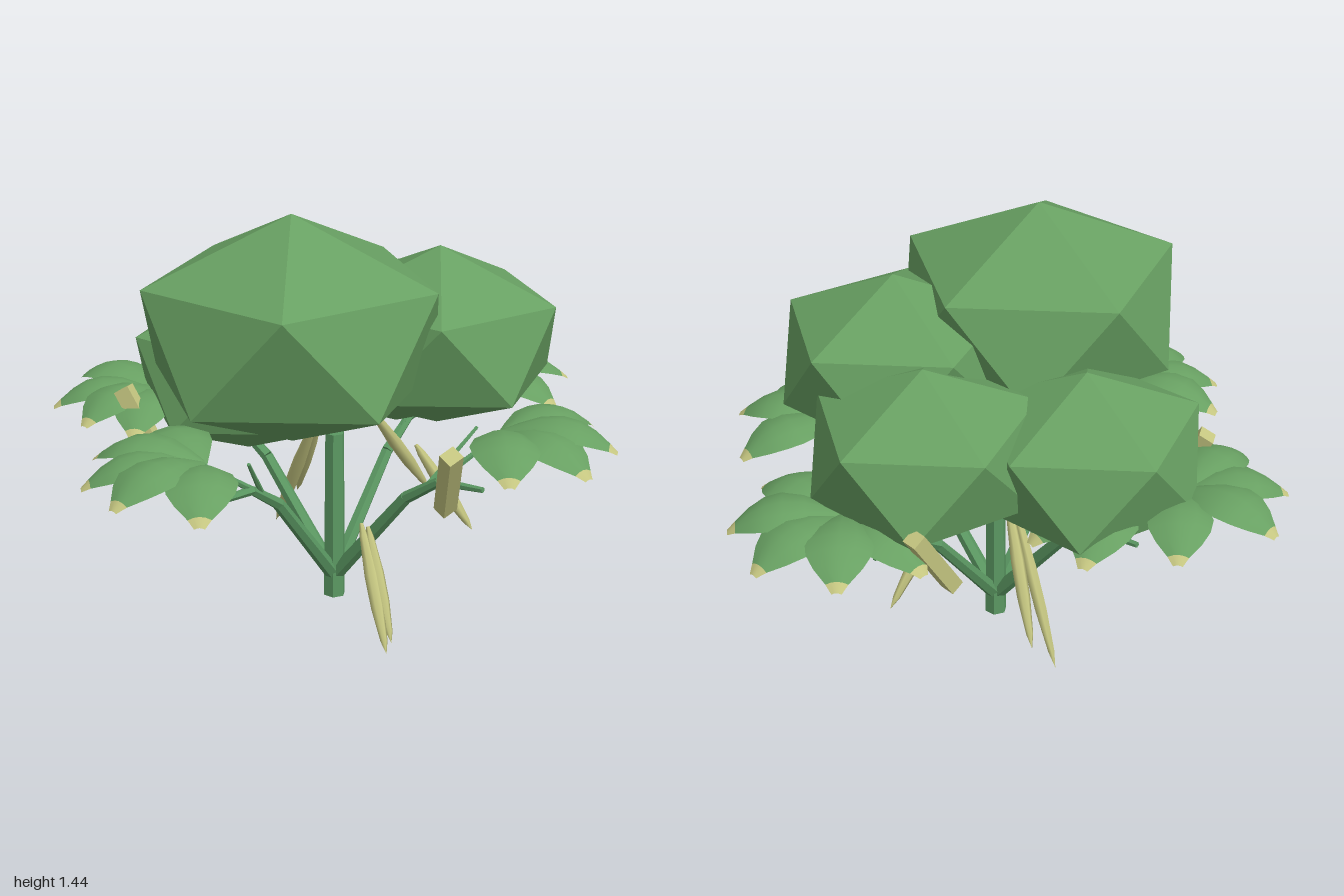
import * as THREE from 'three';

const mat = (name, color, extra = {}) => {
  const m = new THREE.MeshStandardMaterial({ color, ...extra });
  m.name = name;
  return m;
};
const foliageMat = mat('foliageGreen', 0x68a062);
const leafMat = mat('leafGreen', 0x68a062, { side: THREE.DoubleSide });
const stemMat = mat('stemGreen', 0x5b9862, { flatShading: true });
const podMat = mat('podCream', 0xc4c580);
const tipMat = mat('leafTipCream', 0xc4c580, { side: THREE.DoubleSide });

const V = (p) => new THREE.Vector3(...p);
const UP = new THREE.Vector3(0, 1, 0);

function add(parent, name, geometry, material) {
  const mesh = new THREE.Mesh(geometry, material);
  mesh.name = name;
  parent.add(mesh);
  return mesh;
}

// Places a geometry that runs along y so that it spans from a to b
function span(mesh, a, b) {
  const from = V(a), to = V(b);
  mesh.position.copy(from).add(to).multiplyScalar(0.5);
  mesh.quaternion.setFromUnitVectors(UP, to.sub(from).normalize());
  return mesh;
}

function stem(parent, name, a, b, r0, r1) {
  const len = V(a).distanceTo(V(b));
  return span(add(parent, name, new THREE.CylinderGeometry(r1, r0, len, 6), stemMat), a, b);
}

// Squashed icosahedron standing on a vertex, upper ring pointing to +x
function blob(parent, name, radius, pos) {
  const g = new THREE.IcosahedronGeometry(radius, 0);
  g.rotateZ(-Math.atan(2 / (1 + Math.sqrt(5))));
  g.scale(1, 0.7, 1);
  add(parent, name, g, foliageMat).position.set(...pos);
}

// Arched leaf along +x: rows of [length, height, half width], cream tip
function leafGeometry() {
  const rows = [
    [0, 0, 0.012], [0.06, 0.026, 0.05], [0.13, 0.05, 0.092], [0.2, 0.056, 0.113],
    [0.26, 0.044, 0.104], [0.31, 0.018, 0.077], [0.358, -0.018, 0.036], [0.385, -0.042, 0.016],
  ];
  const across = [-1, -0.5, 0, 0.5, 1];
  const pos = [], index = [], n = across.length;
  for (const [x, y, w] of rows)
    for (const s of across) pos.push(x, y - 0.3 * w * s * s, w * s);
  for (let i = 0; i < rows.length - 1; i++)
    for (let j = 0; j < n - 1; j++) {
      const a = i * n + j, b = a + n;
      index.push(a, a + 1, b, b, a + 1, b + 1);
    }
  const g = new THREE.BufferGeometry();
  g.setAttribute('position', new THREE.Float32BufferAttribute(pos, 3));
  g.setIndex(index);
  g.computeVertexNormals();
  const tip = (n - 1) * 6;
  g.addGroup(0, index.length - tip, 0);
  g.addGroup(index.length - tip, tip, 1);
  return g;
}

// Spindle-shaped pod
function pod(parent, a, b) {
  const len = V(a).distanceTo(V(b));
  const profile = [[0, -0.5], [0.006, -0.5], [0.014, -0.4], [0.023, -0.1], [0.022, 0.15], [0.012, 0.4], [0, 0.5]]
    .map(([r, y]) => new THREE.Vector2(r, y * len));
  span(add(parent, 'pod', new THREE.LatheGeometry(profile, 6), podMat), a, b);
}

export function createModel() {
  const root = new THREE.Group();
  root.name = 'plant';

  // Crown
  const crown = new THREE.Group();
  crown.name = 'crown';
  root.add(crown);
  blob(crown, 'largeFoliage', 0.53, [-0.33, 1.065, 0.13]);
  blob(crown, 'frontFoliage', 0.43, [0.14, 0.975, 0.36]);
  blob(crown, 'sideFoliage', 0.42, [0.355, 0.835, 0.04]);
  blob(crown, 'backFoliage', 0.43, [-0.035, 0.775, -0.31]);

  // Trunk
  const [bx, bz] = [0.005, 0.038];
  stem(root, 'trunk', [bx, 0, bz], [bx, 0.6, bz], 0.039, 0.034);

  // Four limbs along the axes; each carries an outward fan of leaves:
  // limb direction, fan centre, leaf size and leaf angles
  const leaf = leafGeometry();
  const branches = [
    { dir: [-1, 0], at: [-0.61, 0], size: 1, angles: [140, 183, 218, 253, 293] },
    { dir: [0, -1], at: [-0.19, -0.59], size: 0.94, angles: [150, 180, 222, 268, 326] },
    { dir: [1, 0], at: [0.615, 0.15], size: 0.98, angles: [-84, -40, 5, 43, 90] },
    { dir: [0, 1], at: [0.19, 0.575], size: 1, angles: [20, 65, 100, 142] },
  ];
  for (const { dir: [dx, dz], at: [cx, cz], size, angles } of branches) {
    const group = new THREE.Group();
    group.name = 'branch';
    root.add(group);
    const on = (d, y) => [bx + dx * d, y, bz + dz * d];
    const path = [on(0, 0.07), on(0.3, 0.44), on(0.43, 0.53), on(0.6, 0.545)];
    const radii = [0.027, 0.021, 0.016, 0.01];
    for (let i = 0; i < 3; i++) stem(group, 'limb', path[i], path[i + 1], radii[i], radii[i + 1]);

    // Twigs
    stem(group, 'twig', on(0.42, 0.525), [cx, 0.665, cz], 0.012, 0.008);
    stem(group, 'twig', on(0.38, 0.5), [cx * 0.8 + dz * 0.08, 0.65, cz * 0.8 - dx * 0.08], 0.01, 0.006);

    // Leaves
    angles.forEach((deg, i) => {
      const m = add(group, 'leaf', leaf, [leafMat, tipMat]);
      m.position.set(cx, 0.666 + (i % 2) * 0.012, cz);
      m.rotation.y = -THREE.MathUtils.degToRad(deg);
      m.scale.setScalar(size);
    });
  }

  // Two more leaves at the back of the crown
  for (const deg of [-16, 16]) {
    const m = add(root, 'backLeaf', leaf, [leafMat, tipMat]);
    m.position.set(-0.07, 0.655, -0.46);
    m.rotation.y = -THREE.MathUtils.degToRad(deg);
  }

  // Hanging pods
  const pods = [
    [[-0.11, 0.36, 0.24], [-0.26, 0.01, 0.46]],
    [[-0.1, 0.35, 0.26], [-0.22, 0.03, 0.45]],
    [[0.1, 0.58, -0.12], [0.215, 0.085, -0.4]],
    [[0.14, 0.6, -0.13], [0.29, 0.19, -0.36]],
    [[0.2, 0.62, 0.05], [0.49, 0.25, 0.09]],
    [[0.08, 0.6, 0.32], [0.13, 0.33, 0.52]],
  ];
  for (const [a, b] of pods) pod(root, a, b);

  // Square sticks among the leaves
  const sticks = [
    [[-0.255, 0.755, 0.69], [-0.105, 0.5, 0.57]],
    [[0.66, 0.75, -0.19], [0.5, 0.495, -0.2]],
    [[-0.42, 0.75, -0.53], [-0.385, 0.495, -0.38]],
  ];
  for (const [a, b] of sticks) {
    const len = V(a).distanceTo(V(b));
    span(add(root, 'stick', new THREE.BoxGeometry(0.05, len, 0.055), podMat), a, b);
  }
  return root;
}
